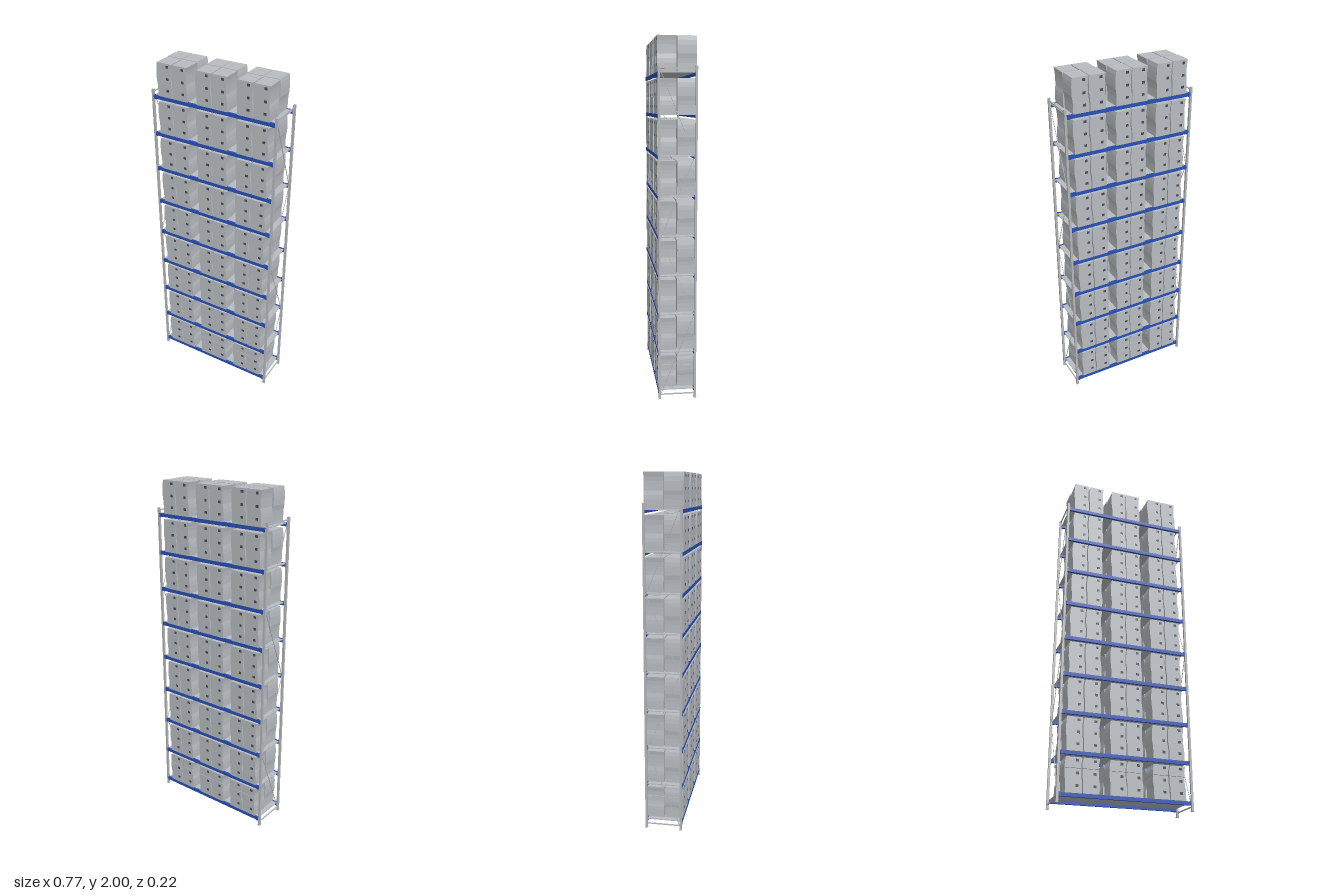
import * as THREE from 'three';

const mat = (name, color) => {
  const m = new THREE.MeshStandardMaterial({ color });
  m.name = name;
  return m;
};

export function createModel() {
  const root = new THREE.Group();
  root.name = 'palletRack';
  const steel = mat('galvanised steel', 0xb6b7b9);
  const blue = mat('beam blue', 0x2850b4);
  const carton = mat('carton grey', 0xb8bcc1);
  const dark = mat('hole dark', 0x474b57);

  const LEVELS = 9, STEP = 0.2197, BASE = 0.042;
  const POST_X = 0.376, POST_Z = 0.1, POST_H = 1.84;
  const BOX_W = 0.092, BOX_H = 0.188, BOX_D = 0.103;
  const columns = [-0.295, -0.199, -0.05, 0.045, 0.195, 0.291];

  const box = (parent, name, m, w, h, d, x, y, z) => {
    const mesh = new THREE.Mesh(new THREE.BoxGeometry(w, h, d), m);
    mesh.name = name;
    mesh.position.set(x, y, z);
    parent.add(mesh);
    return mesh;
  };

  // Thin rod in the side plane between two (z, y) points
  const rod = (parent, name, x, z0, y0, z1, y1, t) => {
    const len = Math.hypot(z1 - z0, y1 - y0);
    const r = box(parent, name, steel, t, t, len, x, (y0 + y1) / 2, (z0 + z1) / 2);
    r.rotation.x = -Math.atan2(y1 - y0, z1 - z0);
  };

  // End frames: posts, feet, cross bars and zigzag bracing
  for (const s of [-1, 1]) {
    const frame = new THREE.Group();
    frame.name = s > 0 ? 'leftFrame' : 'rightFrame';
    for (const f of [-1, 1]) {
      box(frame, 'post', steel, 0.013, POST_H, 0.012, s * POST_X, POST_H / 2, f * POST_Z);
      box(frame, 'foot', steel, 0.017, 0.005, 0.015, s * POST_X, 0.0025, f * POST_Z);
    }
    rod(frame, 'bottomBar', s * POST_X, -0.095, 0.026, 0.095, 0.026, 0.006);
    rod(frame, 'topBar', s * POST_X, -0.095, 1.826, 0.095, 1.826, 0.006);
    const stops = [0.03, 0.48, 0.925, 1.365, 1.815];
    for (let i = 0; i < 4; i++) {
      const z = i % 2 ? -0.092 : 0.092;
      rod(frame, 'diagonalBrace', s * POST_X, z, stops[i], -z, stops[i + 1], 0.003);
    }
    root.add(frame);
  }

  // Carton outline with slightly wavy sides, extruded in depth
  const cartonGeometry = (y0, y1) => {
    const wave = y => 0.003 * Math.tanh(14 * Math.sin((y / BOX_H) * Math.PI * 2 + 0.6) / 6);
    const shape = new THREE.Shape();
    const n = 8;
    const l = -BOX_W / 2 + 0.001, r = BOX_W / 2 - 0.001;
    for (let i = 0; i <= n; i++) {
      const y = y0 + (y1 - y0) * i / n;
      const x = l + wave(y);
      i ? shape.lineTo(x, y) : shape.moveTo(x, y);
    }
    for (let i = n; i >= 0; i--) {
      const y = y0 + (y1 - y0) * i / n;
      shape.lineTo(r + wave(y), y);
    }
    return new THREE.ExtrudeGeometry(shape, { depth: BOX_D, bevelEnabled: false });
  };
  const whole = [cartonGeometry(0, BOX_H)];
  const split = [cartonGeometry(0, 0.128), cartonGeometry(0.13, BOX_H)];
  const holeGeometry = new THREE.BoxGeometry(0.016, 0.014, 0.002);

  // One stack facing +z, or -z when turned
  const addStack = (parent, x, y, level, turned) => {
    const stack = new THREE.Group();
    stack.name = turned ? 'backCarton' : 'frontCarton';
    stack.position.set(x, y, 0);
    if (turned) stack.rotation.y = Math.PI;
    for (const g of level === 0 ? split : whole) {
      const m = new THREE.Mesh(g, carton);
      m.name = 'carton';
      m.position.z = 0.003;
      stack.add(m);
    }
    for (const hy of [0.039, 0.104, 0.171]) {
      const h = new THREE.Mesh(holeGeometry, dark);
      h.name = 'handHole';
      h.position.set(0.021, hy, 0.003 + BOX_D);
      stack.add(h);
    }
    parent.add(stack);
  };

  // Levels: beams, shelf panel and two rows of cartons
  for (let k = 0; k < LEVELS; k++) {
    const y = BASE + k * STEP;
    const level = new THREE.Group();
    level.name = 'level' + (k + 1);
    for (const f of [-1, 1]) {
      box(level, 'beam', blue, 0.738, 0.02, 0.012, 0, y, f * POST_Z);
      for (const s of [-1, 1])
        box(level, 'beamConnector', blue, 0.012, 0.023, 0.003, s * 0.363, y, f * 0.1065);
    }
    box(level, 'shelf', carton, 0.736, 0.005, 0.188, 0, y + 0.0075, 0);
    for (const x of columns) {
      addStack(level, x, y + 0.0105, k, false);
      addStack(level, x, y + 0.0105, k, true);
    }
    root.add(level);
  }
  return root;
}
